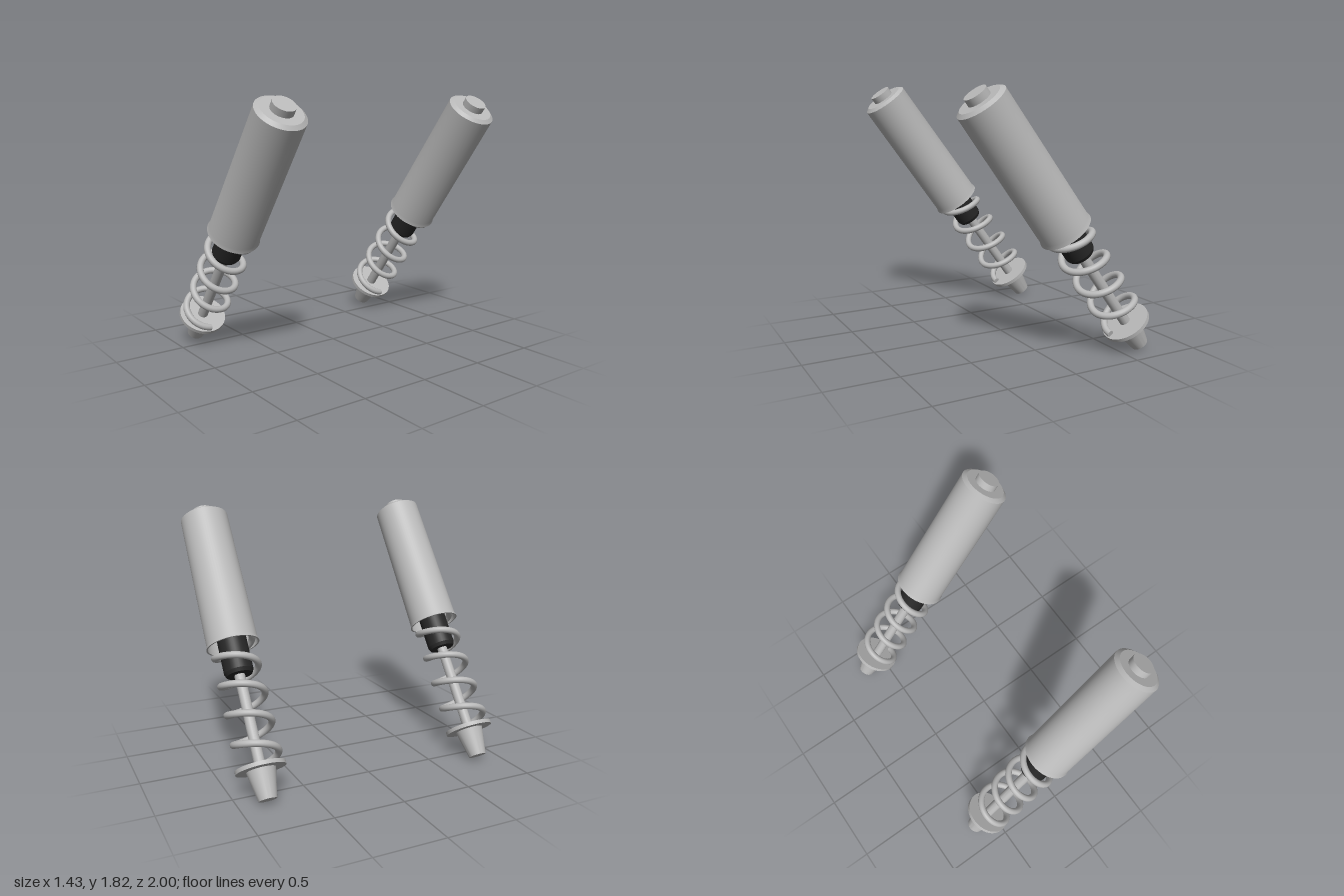
import * as THREE from 'three';
import { toCreasedNormals } from 'three/addons/utils/BufferGeometryUtils.js';

const metal = new THREE.MeshStandardMaterial({ color: 0xb8b8b8 });
metal.name = 'grey metal';
const rubber = new THREE.MeshStandardMaterial({ color: 0x262626 });
rubber.name = 'black rubber';

// Turned part from [radius, height] pairs, crisp at profile corners
function turned(name, profile, material, sides = 48) {
  const points = profile.map(([r, y]) => new THREE.Vector2(r, y));
  const geometry = toCreasedNormals(new THREE.LatheGeometry(points, sides), 0.3);
  const mesh = new THREE.Mesh(geometry, material);
  mesh.name = name;
  return mesh;
}

class Helix extends THREE.Curve {
  constructor(radius, start, pitch, turns) {
    super();
    Object.assign(this, { radius, start, pitch, turns });
  }
  getPoint(t, target = new THREE.Vector3()) {
    const a = t * this.turns * Math.PI * 2;
    return target.set(
      this.radius * Math.cos(a),
      this.start + this.pitch * this.turns * t,
      this.radius * Math.sin(a)
    );
  }
}

// Coil spring with flat cut ends
function makeSpring() {
  const group = new THREE.Group();
  group.name = 'spring';
  const wire = 0.024;
  const curve = new Helix(0.141, 0.236, 0.2045, 8.8);
  const coil = new THREE.Mesh(new THREE.TubeGeometry(curve, 360, wire, 14), metal);
  coil.name = 'springCoil';
  group.add(coil);
  for (const [t, sign] of [[0, -1], [1, 1]]) {
    const end = new THREE.Mesh(new THREE.CircleGeometry(wire, 14), metal);
    end.name = 'springEnd';
    end.position.copy(curve.getPoint(t));
    end.quaternion.setFromUnitVectors(
      new THREE.Vector3(0, 0, 1),
      curve.getTangent(t).multiplyScalar(sign)
    );
    group.add(end);
  }
  return group;
}

// One strut, standing along its own y axis
function makeStrut(name) {
  const strut = new THREE.Group();
  strut.name = name;
  strut.add(
    turned('lowerMount', [[0, 0], [0.062, 0], [0.1, 0.2], [0, 0.2]], metal),
    turned('springSeat', [[0, 0.198], [0.17, 0.198], [0.17, 0.225], [0, 0.225]], metal),
    turned('rod', [[0, 0.22], [0.037, 0.22], [0.037, 0.9], [0, 0.9]], metal, 32),
    turned('bumpStop', [[0, 0.86], [0.09, 0.86], [0.102, 0.885], [0.102, 2.08], [0, 2.08]], rubber, 32),
    makeSpring(),
    // Hollow sleeve: inner ceiling, inner wall, flared lip, outer wall, chamfered top
    turned('sleeve', [
      [0, 2.08], [0.167, 2.08], [0.174, 1.076], [0.185, 1.076], [0.178, 1.105],
      [0.171, 2.095], [0.143, 2.115], [0, 2.115]
    ], metal, 64),
    turned('topStud', [[0, 2.11], [0.078, 2.11], [0.078, 2.164], [0, 2.164]], metal, 40)
  );
  return strut;
}

export function createModel() {
  const model = new THREE.Group();
  model.name = 'strutPair';
  for (const [name, z] of [['frontStrut', 0.815], ['rearStrut', -0.815]]) {
    const strut = makeStrut(name);
    strut.position.set(-0.667, 0.037, z);
    strut.rotation.z = -Math.atan2(0.595, 0.804);
    model.add(strut);
  }
  return model;
}
